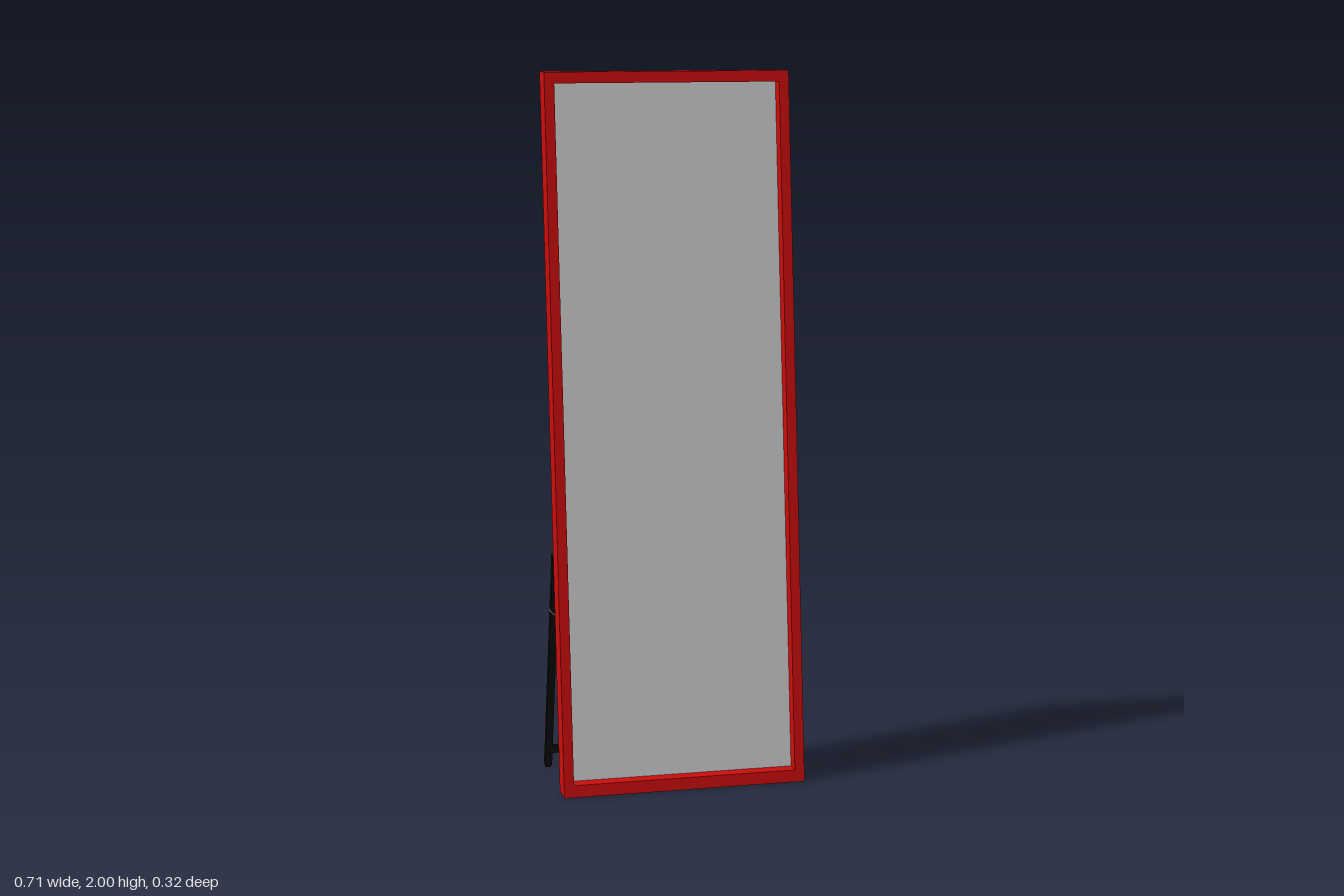
import * as THREE from 'three';

const material = (name, color) => {
  const m = new THREE.MeshStandardMaterial({ color });
  m.name = name;
  return m;
};

export function createModel() {
  const model = new THREE.Group();
  model.name = 'standingMirror';
  const red = material('redFrame', 0xcc0c0c);
  const grey = material('mirrorGrey', 0xd0d0d0);
  const black = material('blackStand', 0x0c0c0c);
  const steel = material('steel', 0xa8a8a8);

  const add = (name, geometry, mat, parent = model) => {
    const mesh = new THREE.Mesh(geometry, mat);
    mesh.name = name;
    parent.add(mesh);
    return mesh;
  };

  // The leaning parts are sheared backwards, keeping level top and bottom ends
  const front = 0.158, depth = 0.068, slope = -0.1125;
  const lean = new THREE.Matrix4().set(
    1, 0, 0, 0,
    0, 1, 0, 0,
    0, slope, 1, front,
    0, 0, 0, 1);
  const leaningBox = (w, y0, y1, z0, z1) =>
    new THREE.BoxGeometry(w, y1 - y0, z1 - z0)
      .translate(0, (y0 + y1) / 2, (z0 + z1) / 2)
      .applyMatrix4(lean);

  // Frame with a rectangular opening
  const rect = (path, x, y0, y1) => {
    path.moveTo(-x, y0);
    path.lineTo(x, y0);
    path.lineTo(x, y1);
    path.lineTo(-x, y1);
    path.closePath();
    return path;
  };
  const outline = rect(new THREE.Shape(), 0.348, 0, 2);
  outline.holes.push(rect(new THREE.Path(), 0.32, 0.034, 1.969));
  const frame = new THREE.ExtrudeGeometry(outline, { depth, bevelEnabled: false });
  add('frame', frame.translate(0, 0, -depth).applyMatrix4(lean), red);

  // Recessed mirror panel and the rail across its back
  add('mirrorPanel', leaningBox(0.642, 0.033, 1.97, -0.053, -0.041), grey);
  add('backRail', leaningBox(0.642, 0.605, 0.632, -depth, -0.052), red);

  // Stand: legs slope back, joined by two bars
  const stand = new THREE.Group();
  stand.name = 'stand';
  model.add(stand);
  const legX = 0.338;
  const legPoint = (x, y) => new THREE.Vector3(x, y, -0.150 + 0.221 * y);
  const beam = (name, a, b, size) => {
    const mesh = add(name, new THREE.BoxGeometry(size, size, a.distanceTo(b)), black, stand);
    mesh.position.lerpVectors(a, b, 0.5);
    mesh.lookAt(b);
  };
  beam('upperBar', legPoint(-legX, 0.6), legPoint(legX, 0.61), 0.02);
  beam('lowerBar', legPoint(-legX, 0.055), legPoint(legX, 0.08), 0.02);

  for (const side of [-1, 1]) {
    beam('leg', legPoint(side * legX, 0.008), legPoint(side * legX, 0.66), 0.02);

    // Small round foot
    const foot = add('foot', new THREE.CylinderGeometry(0.009, 0.009, 0.014, 12), black, stand);
    foot.position.set(side * legX, 0.007, -0.15);

    // Thin stay from the frame's side to the leg
    const stay = new THREE.CatmullRomCurve3([
      [0.343, 0.5, 0.046], [0.35, 0.498, 0.04], [0.35, 0.495, 0],
      [0.35, 0.495, -0.034], [0.343, 0.497, -0.04],
    ].map(([x, y, z]) => new THREE.Vector3(side * x, y, z)));
    add('stay', new THREE.TubeGeometry(stay, 24, 0.002, 6), steel);
  }
  return model;
}
